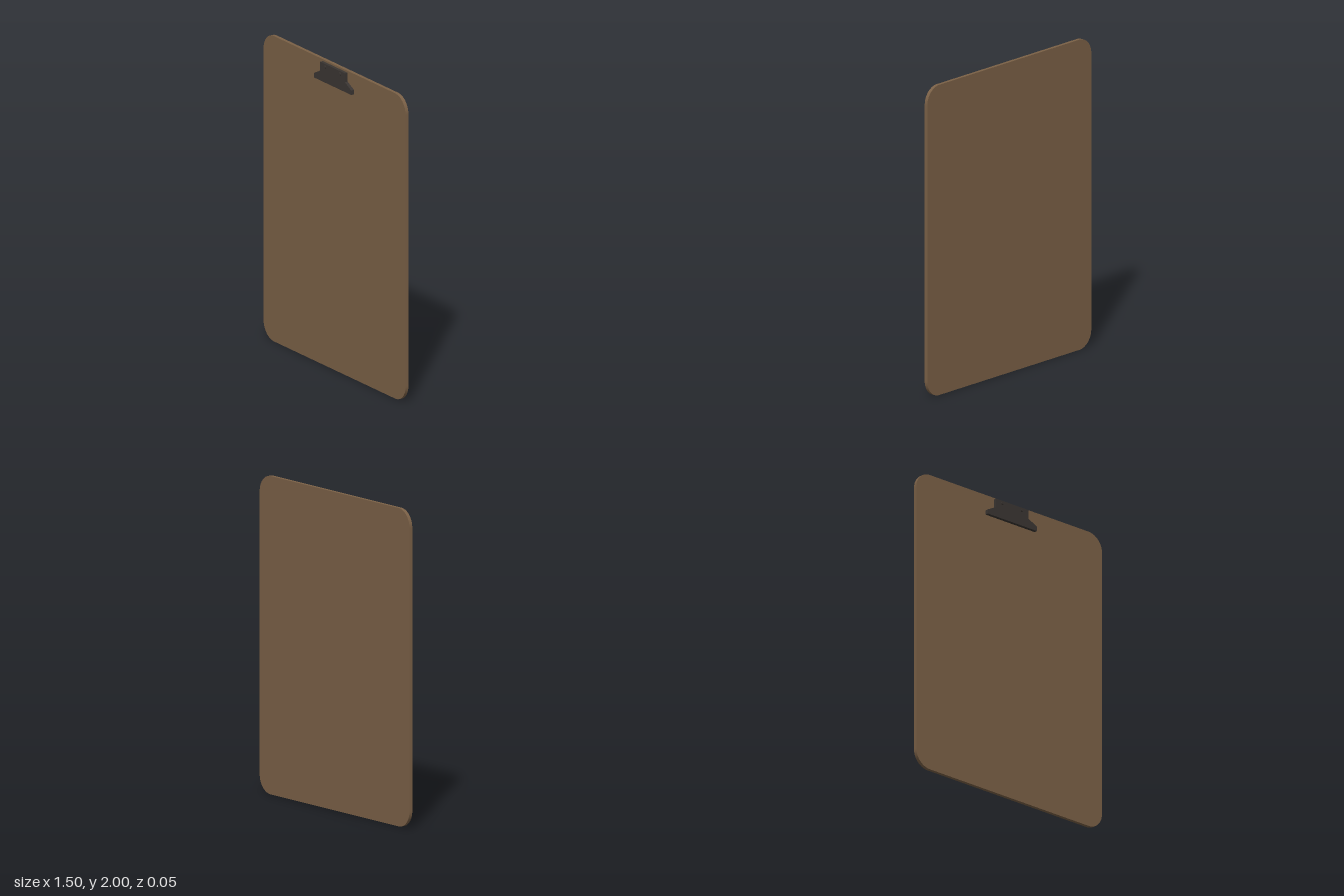
import * as THREE from 'three';

const boardMaterial = new THREE.MeshStandardMaterial({ color: 0x7a6046 });
const clipMaterial = new THREE.MeshStandardMaterial({ color: 0x3a3532 });

function extrude(name, shape, back, front, material, curveSegments = 10) {
  const geometry = new THREE.ExtrudeGeometry(shape, {
    depth: front - back, bevelEnabled: false, curveSegments,
  });
  const mesh = new THREE.Mesh(geometry, material);
  mesh.name = name;
  mesh.position.z = back;
  return mesh;
}

// Upright rectangle with rounded corners, standing on y = 0
function roundedRect(halfWidth, height, r) {
  const s = new THREE.Shape();
  s.absarc(halfWidth - r, r, r, -Math.PI / 2, 0);
  s.absarc(halfWidth - r, height - r, r, 0, Math.PI / 2);
  s.absarc(-halfWidth + r, height - r, r, Math.PI / 2, Math.PI);
  s.absarc(-halfWidth + r, r, r, Math.PI, Math.PI * 1.5);
  s.closePath();
  return s;
}

export function createModel() {
  const model = new THREE.Group();
  model.name = 'clipboard';

  // Backing board
  model.add(extrude('board', roundedRect(0.748, 2, 0.11), -0.025, -0.003, boardMaterial));

  // Clip plate: narrow top, sloped shoulders, wide jaw
  const clip = new THREE.Group();
  clip.name = 'clip';
  clip.position.x = 0.008;
  const half = [[0.131, 1.988], [0.131, 1.93], [0.197, 1.895], [0.197, 1.866]];
  const outline = [
    ...half,
    ...half.map(([x, y]) => [-x, y]).reverse(),
  ].map(([x, y]) => new THREE.Vector2(x, y));
  clip.add(extrude('clipPlate', new THREE.Shape(outline), -0.003, 0.018, clipMaterial));

  // Rivets holding the clip
  for (const side of [-1, 1]) {
    const rivet = new THREE.Mesh(new THREE.CylinderGeometry(0.01, 0.01, 0.01, 16), clipMaterial);
    rivet.name = side > 0 ? 'leftRivet' : 'rightRivet';
    rivet.rotation.x = Math.PI / 2;
    rivet.position.set(side * 0.079, 1.969, 0.02);
    clip.add(rivet);
  }
  model.add(clip);
  return model;
}
